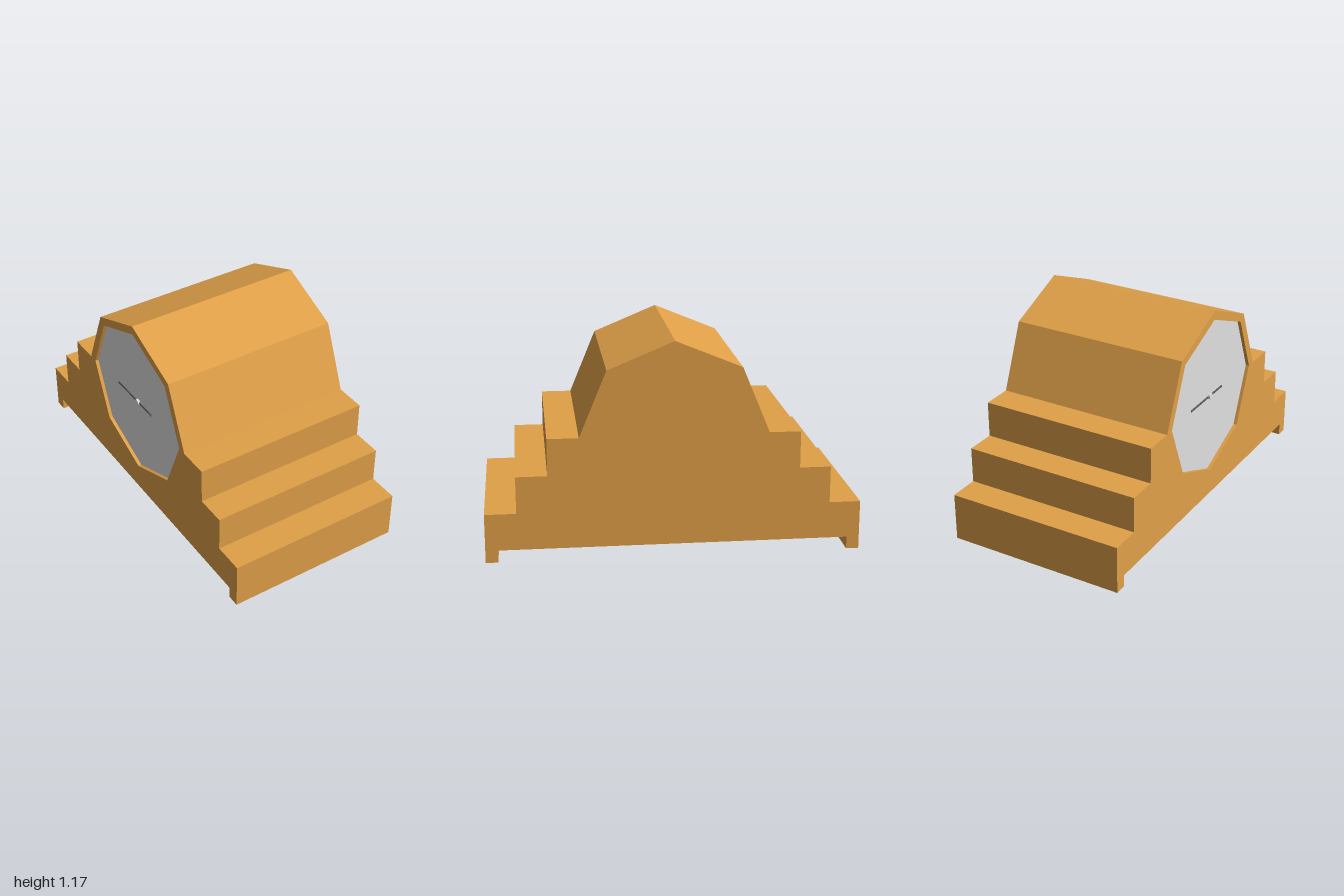
import * as THREE from 'three';

const WIDTH = 1, RECESS = 0.02, CENTRE_Y = 0.667;

// Octagon points with one corner pointing straight up
function octagon(radius) {
  return Array.from({ length: 8 }, (_, i) => {
    const a = (i * Math.PI) / 4;
    return new THREE.Vector2(Math.cos(a) * radius, CENTRE_Y + Math.sin(a) * radius);
  });
}

// Stepped side outline with a faceted arch on top and two feet below
function bodyShape() {
  const half = [[0.933, 0.067], [0.933, 0], [1, 0], [1, 0.267], [0.833, 0.267],
    [0.833, 0.467], [0.667, 0.467], [0.667, CENTRE_Y]];
  const right = half.map(([u, y]) => new THREE.Vector2(u, y));
  const left = half.map(([u, y]) => new THREE.Vector2(-u, y)).reverse();
  return new THREE.Shape([...right, ...octagon(0.5).slice(0, 5), ...left]);
}

// Extrude a side outline across the width, from x0 to x1
function slab(shape, x0, x1) {
  const geo = new THREE.ExtrudeGeometry(shape, { depth: x1 - x0, bevelEnabled: false });
  return geo.rotateY(Math.PI / 2).translate(x0, 0, 0);
}

export function createModel() {
  const group = new THREE.Group();
  const wood = new THREE.MeshStandardMaterial({ color: 0xe0a048 });
  wood.name = 'warm wood';
  const pale = new THREE.MeshStandardMaterial({ color: 0xe0e0e0 });
  pale.name = 'pale dial';
  const dark = new THREE.MeshStandardMaterial({ color: 0x606060 });
  dark.name = 'dark hands';

  const add = (name, geo, mat) => {
    const mesh = new THREE.Mesh(geo, mat);
    mesh.name = name;
    group.add(mesh);
    return mesh;
  };

  // Solid case, and the thin facing with the octagonal dial opening
  const x0 = -WIDTH / 2, dialX = x0 + RECESS;
  add('case', slab(bodyShape(), dialX, WIDTH / 2), wood);
  const facing = bodyShape();
  facing.holes.push(new THREE.Path(octagon(0.45).reverse()));
  add('facing', slab(facing, x0, dialX), wood);

  // Recessed dial facing -x
  const dial = new THREE.CircleGeometry(0.45, 8).rotateY(-Math.PI / 2);
  add('dial', dial.translate(dialX - 0.001, CENTRE_Y, 0), pale);

  // Two hands in line, and the hub they turn on
  for (const [name, length, side] of [['minuteHand', 0.21, -1], ['hourHand', 0.14, 1]]) {
    const hand = new THREE.BoxGeometry(0.005, 0.01, length);
    add(name, hand.translate(dialX - 0.004, CENTRE_Y, (side * length) / 2), dark);
  }
  const hub = new THREE.CylinderGeometry(0.017, 0.017, 0.014, 12).rotateZ(Math.PI / 2);
  add('hub', hub.translate(dialX - 0.007, CENTRE_Y, 0), pale);

  return group;
}
